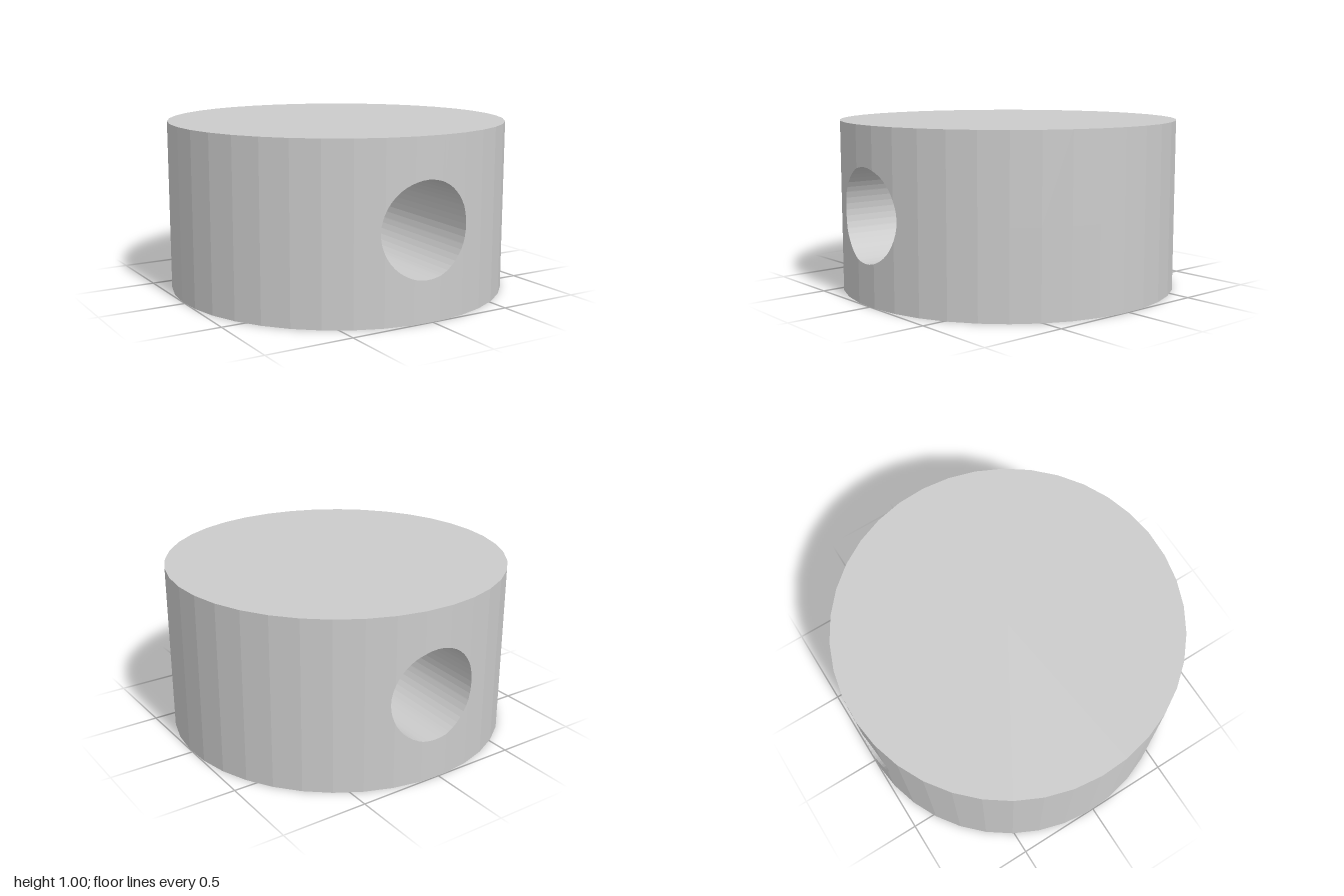
import * as THREE from 'three';

const SIDES = 38, HEIGHT = 1, HOLE_R = 0.268, HOLE_Y = 0.503, HOLE_STEPS = 48;
const TILT = -0.037; // slight turn about the vertical axis

const material = new THREE.MeshStandardMaterial({ color: 0xcccccc, flatShading: true });

// Corners of the front half of the drum, from +x round to -x
const corners = Array.from({ length: SIDES / 2 + 1 }, (_, i) => {
  const a = (i * 2 * Math.PI) / SIDES;
  return { x: Math.cos(a), z: Math.sin(a) };
});

// Depth of the faceted front wall at a given x
function wallZ(x) {
  for (let i = 1; i < corners.length; i++) {
    const p = corners[i - 1], q = corners[i];
    if (x >= q.x - 1e-9) return p.z + ((q.z - p.z) * (x - p.x)) / (q.x - p.x);
  }
  return 0;
}

// Angles round the hole: even steps plus the crossings with the wall's edges
function holeAngles() {
  const half = [];
  for (let i = 0; i <= HOLE_STEPS / 2; i++) half.push((i * 2 * Math.PI) / HOLE_STEPS);
  for (const c of corners) if (Math.abs(c.x) < HOLE_R) half.push(Math.acos(c.x / HOLE_R));
  half.sort((a, b) => a - b);
  return half;
}

function quadMesh(name, quads) {
  const pos = [];
  for (const [a, b, c, d] of quads) pos.push(...a, ...b, ...c, ...a, ...c, ...d);
  const g = new THREE.BufferGeometry();
  g.setAttribute('position', new THREE.Float32BufferAttribute(pos, 3));
  g.computeVertexNormals();
  const mesh = new THREE.Mesh(g, material);
  mesh.name = name;
  return mesh;
}

// Half of the side wall, in columns below and above the hole
function halfWall(name, half) {
  const xs = [...corners.map((c) => c.x), ...half.map((t) => HOLE_R * Math.cos(t))]
    .sort((a, b) => a - b)
    .filter((x, i, all) => i === 0 || x - all[i - 1] > 1e-6);
  const gap = (x) => Math.sqrt(Math.max(0, HOLE_R * HOLE_R - x * x));
  const quads = [];
  for (let i = 1; i < xs.length; i++) {
    const a = xs[i - 1], b = xs[i], za = wallZ(a), zb = wallZ(b);
    quads.push([[a, 0, za], [b, 0, zb], [b, HOLE_Y - gap(b), zb], [a, HOLE_Y - gap(a), za]]);
    quads.push([[a, HOLE_Y + gap(a), za], [b, HOLE_Y + gap(b), zb], [b, HEIGHT, zb], [a, HEIGHT, za]]);
  }
  return quadMesh(name, quads);
}

// Inside surface of the through hole
function holeLining(half) {
  const ring = [...half, ...half.slice(1).map((t) => t + Math.PI)];
  const quads = [];
  const point = (t, side) => {
    const x = HOLE_R * Math.cos(t);
    return [x, HOLE_Y + HOLE_R * Math.sin(t), side * wallZ(x)];
  };
  for (let i = 1; i < ring.length; i++) {
    const s = ring[i - 1], t = ring[i];
    quads.push([point(s, 1), point(t, 1), point(t, -1), point(s, -1)]);
  }
  return quadMesh('holeLining', quads);
}

function cap(name, y, turn) {
  const mesh = new THREE.Mesh(new THREE.CircleGeometry(1, SIDES), material);
  mesh.name = name;
  mesh.rotation.x = turn;
  mesh.position.y = y;
  return mesh;
}

export function createModel() {
  const drum = new THREE.Group();
  drum.name = 'drilledDrum';
  const half = holeAngles();
  const back = halfWall('backWall', half);
  back.rotation.y = Math.PI;
  drum.add(
    halfWall('frontWall', half),
    back,
    holeLining(half),
    cap('topFace', HEIGHT, -Math.PI / 2),
    cap('bottomFace', 0, Math.PI / 2)
  );
  drum.rotation.y = TILT;
  const model = new THREE.Group();
  model.add(drum);
  return model;
}
